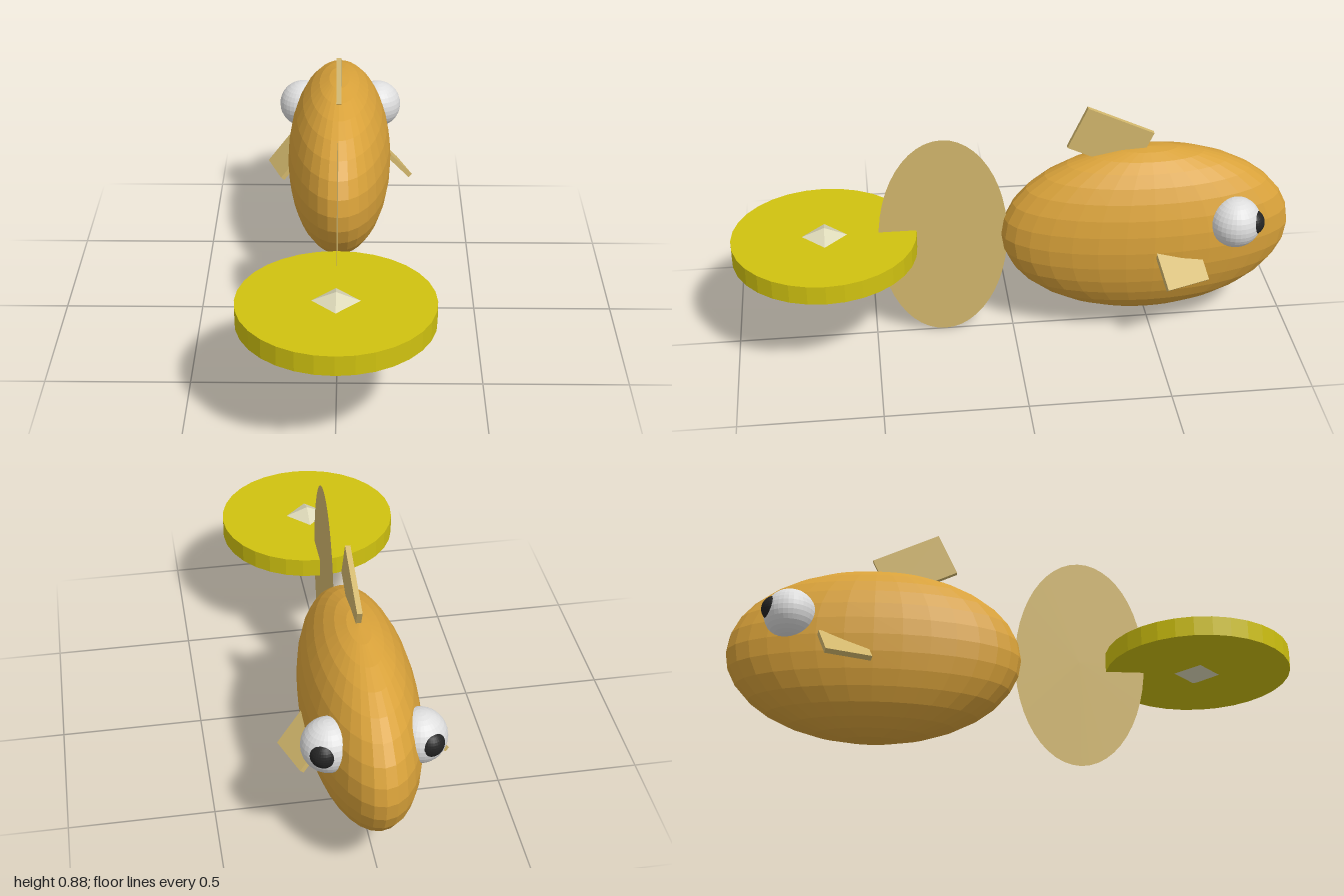
import * as THREE from 'three';

const mat = (name, color) => {
  const m = new THREE.MeshStandardMaterial({ color });
  m.name = name;
  m.flatShading = true;
  return m;
};

export function createModel() {
  const model = new THREE.Group();
  model.name = 'fish';

  const orange = mat('goldenOrange', 0xd9a23a);
  const tan = mat('finTan', 0xd2b76c);
  const yellow = mat('discYellow', 0xd0c210);
  const cream = mat('gemCream', 0xdcd8b8);
  const white = mat('eyeWhite', 0xdedede);
  const black = mat('pupilBlack', 0x242424);
  const tailTan = mat('tailTan', 0xd2b76c);
  tailTan.side = THREE.DoubleSide;

  const add = (name, geometry, material, position, rotation = [0, 0, 0]) => {
    const mesh = new THREE.Mesh(geometry, material);
    mesh.name = name;
    mesh.position.set(...position);
    mesh.rotation.set(...rotation);
    model.add(mesh);
    return mesh;
  };

  // Egg-shaped body, narrow across and long from tail to head
  const bodyGeo = new THREE.SphereGeometry(1, 32, 16).scale(0.195, 0.326, 0.521);
  add('body', bodyGeo, orange, [0, 0.395, -0.479]);

  // Paper-thin oval tail
  const tailGeo = new THREE.CircleGeometry(1, 48).rotateY(Math.PI / 2).scale(1, 0.394, 0.23);
  add('tail', tailGeo, tailTan, [0, 0.394, 0.25]);

  // Tilted back fin
  add('backFin', new THREE.BoxGeometry(0.018, 0.165, 0.26), tan, [0, 0.755, -0.343], [-0.437, 0, 0]);

  // Eyes, pupils and side fins; both side fins turn the same way
  for (const s of [1, -1]) {
    const side = s > 0 ? 'left' : 'right';
    add(side + 'Eye', new THREE.SphereGeometry(0.091, 32, 16), white, [s * 0.147, 0.48, -0.772]);
    add(side + 'Pupil', new THREE.SphereGeometry(0.047, 32, 16), black, [s * 0.17, 0.488, -0.823]);
    add(side + 'SideFin', new THREE.BoxGeometry(0.15, 0.018, 0.165), tan,
      [s * 0.2, 0.344, -0.576], [0, 0.34, -s * 0.84]);
  }

  // Round disc behind the tail, with a gem through its middle
  add('disc', new THREE.CylinderGeometry(0.328, 0.328, 0.07, 32), yellow, [0, 0.395, 0.672]);
  const gemGeo = new THREE.OctahedronGeometry(1).scale(0.167, 0.067, 0.167);
  add('gem', gemGeo, cream, [0, 0.395, 0.67]);

  return model;
}
